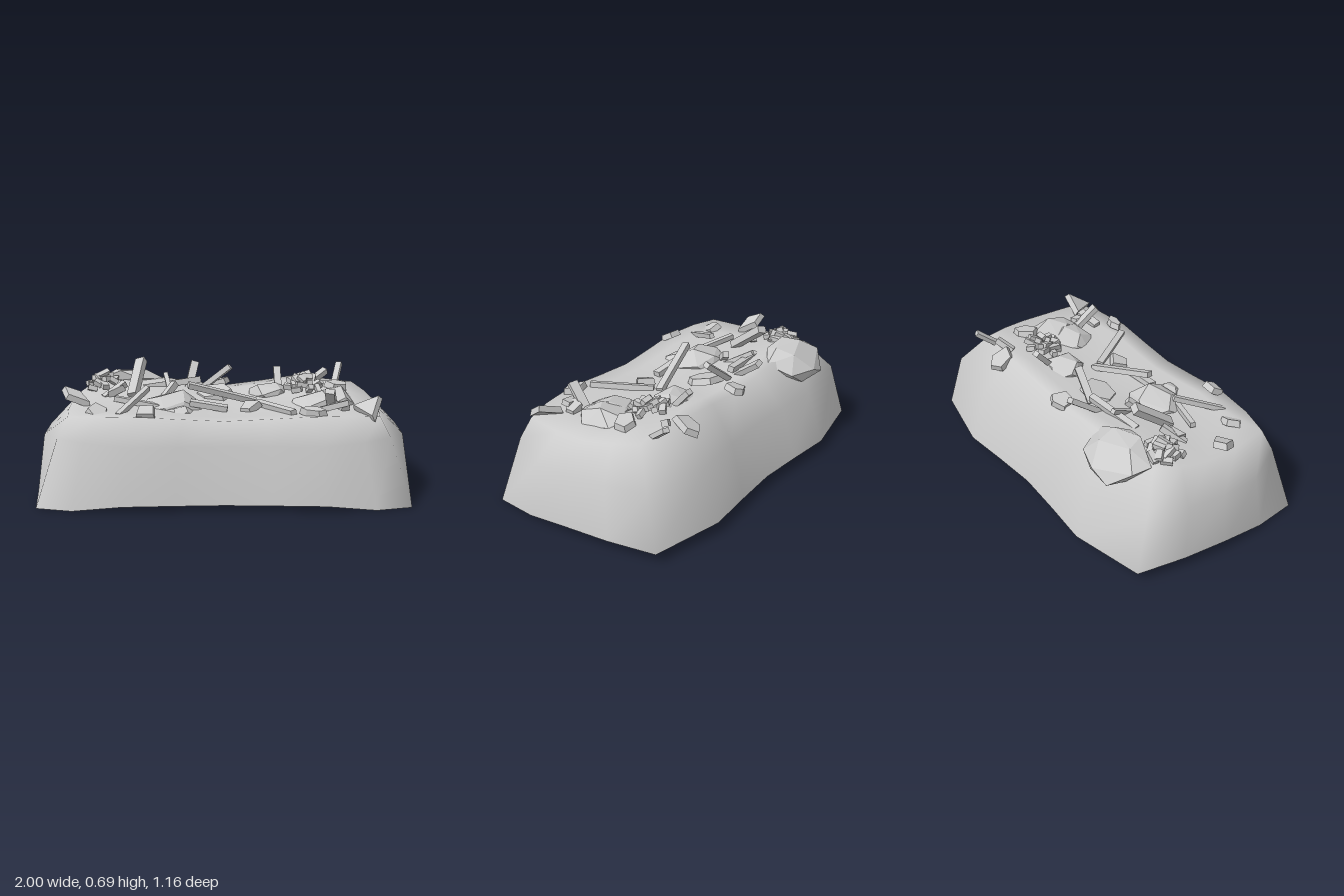
import * as THREE from 'three';
import { ConvexGeometry } from 'three/addons/geometries/ConvexGeometry.js';

const { lerp, smoothstep } = THREE.MathUtils;
const smooth = new THREE.MeshStandardMaterial({ color: 0xcccccc, side: THREE.DoubleSide });
const flat = new THREE.MeshStandardMaterial({ color: 0xcccccc, flatShading: true });

// Small seeded generator so the rubble is always the same
let seed = 7;
const rand = (a = 0, b = 1) => {
  seed = (seed * 16807) % 2147483647;
  return a + (b - a) * seed / 2147483647;
};

// Height of the mound's top: rises to the back, dips across the middle, drops at the ends
function topY(x, z) {
  const back = smoothstep(-z, -0.2, 0.34), ax = Math.abs(x);
  const dip = lerp(0.025, 0.055, back) * (1 - smoothstep(ax, 0, 0.45));
  const ends = lerp(0.01, 0.045, back) * smoothstep(ax, 0.6, 0.85);
  return 0.47 + 0.08 * back - dip - ends;
}

// Height of the mound anywhere, including the sloping flanks
function groundY(x, z) {
  const over = Math.max(0, z - 0.44, -z - 0.34, Math.abs(x) - 0.82);
  return topY(x, z) - over * 1.1;
}

// Open-bottomed mound lofted through shrinking rings
function mound() {
  const half = [[0, -0.545], [0.25, -0.562], [0.51, -0.585], [0.905, -0.5], [0.965, -0.24], [1, 0],
    [1, 0.25], [0.97, 0.5], [0.78, 0.55], [0.52, 0.58], [0.25, 0.565], [0, 0.555]];
  const rim = [...half, ...half.slice(1, -1).reverse().map(([x, z]) => [-x, z])];
  // x scale, front z scale, back z scale
  const rings = [[1, 1, 1], [0.96, 0.9, 0.845], [0.83, 0.8, 0.58], [0.66, 0.62, 0.42], [0.34, 0.32, 0.2]];
  const pos = [], index = [], n = rim.length;
  rings.forEach(([sx, sf, sb], r) => {
    for (const [x, z] of rim) {
      // the front corners lean in more than the ends
      const frontCorner = r === 1 && z > 0.45 ? smoothstep(Math.abs(x), 0.6, 0.95) : 0;
      const px = x * lerp(sx, 0.885, frontCorner);
      const pz = z * lerp(sb, sf - 0.03 * frontCorner, smoothstep(z, -0.5, 0.5));
      const t = Math.min(Math.max(z * 2, 0), 1);
      const frontBase = 0.03 * (1 - smoothstep(Math.abs(x), 0.52, 0.78));
      const base = lerp(0.055 * (1 - t) ** 1.5, frontBase, smoothstep(t, 0.5, 1));
      const side = lerp(0.35, 0.325, smoothstep(z, -0.4, 0.4)) + 0.03 * frontCorner;
      pos.push(px, r === 0 ? base : r === 1 ? side : topY(px, pz), pz);
    }
  });
  pos.push(0, topY(0, 0), 0);
  for (let i = 0; i < n; i++) {
    const j = (i + 1) % n;
    for (let r = 0; r < rings.length - 1; r++) {
      const a = r * n + i, b = r * n + j;
      index.push(a, a + n, b, b, a + n, b + n);
    }
    const last = (rings.length - 1) * n;
    index.push(last + i, rings.length * n, last + j);
  }
  const geo = new THREE.BufferGeometry();
  geo.setAttribute('position', new THREE.Float32BufferAttribute(pos, 3));
  geo.setIndex(index);
  geo.computeVertexNormals();
  return geo;
}

// Straight beam between two points
function plank(x1, y1, z1, x2, y2, z2, w, h = w) {
  const a = new THREE.Vector3(x1, y1, z1), b = new THREE.Vector3(x2, y2, z2);
  const mesh = new THREE.Mesh(new THREE.BoxGeometry(w, h, a.distanceTo(b)), flat);
  mesh.position.copy(a).add(b).multiplyScalar(0.5);
  mesh.lookAt(b);
  mesh.rotateZ(rand(-0.4, 0.4));
  mesh.name = 'plank';
  return mesh;
}

// Flat broken slab with an irregular outline
function shard(x, z, rx, rz, sides, turn, tiltX, tiltZ, lift = 0.02) {
  const pts = [];
  for (let i = 0; i < sides; i++) {
    const a = (i + rand(-0.2, 0.2)) / sides * Math.PI * 2;
    for (const [y, s] of [[-0.02, 1], [0.015, 0.88]])
      pts.push(new THREE.Vector3(Math.cos(a) * rx * s, y, Math.sin(a) * rz * s));
  }
  const mesh = new THREE.Mesh(new ConvexGeometry(pts), flat);
  mesh.position.set(x, groundY(x, z) + lift, z);
  mesh.rotation.set(tiltX, turn, tiltZ);
  mesh.name = 'shard';
  return mesh;
}

// Faceted boulder sunk in the mound
function boulder(x, z, rx, ry, rz, sink, tiltX = 0) {
  const pts = [];
  for (let i = 0; i < 16; i++) {
    const y = 1 - 2 * (i + 0.5) / 16, r = Math.sqrt(1 - y * y), a = i * 2.4;
    const k = rand(0.85, 1.1);
    pts.push(new THREE.Vector3(Math.cos(a) * r * rx * k, y * ry * k, Math.sin(a) * r * rz * k));
  }
  const mesh = new THREE.Mesh(new ConvexGeometry(pts), flat);
  mesh.position.set(x, groundY(x, z) - sink, z);
  mesh.rotation.x = tiltX;
  mesh.name = 'boulder';
  return mesh;
}

// Heap of small bricks
function brickHeap(cx, cz, radius, count) {
  const heap = new THREE.Group();
  heap.name = 'brickHeap';
  for (let i = 0; i < count; i++) {
    const r = radius * Math.sqrt((i + 0.3) / count), a = i * 2.4;
    const x = cx + r * Math.cos(a), z = cz + r * Math.sin(a);
    const brick = new THREE.Mesh(new THREE.BoxGeometry(rand(0.045, 0.08), 0.028, rand(0.026, 0.036)), flat);
    brick.position.set(x, groundY(x, z) + 0.012 + 0.06 * (1 - r / radius), z);
    brick.rotation.set(rand(-0.5, 0.5), rand(0, 3), rand(-0.5, 0.5));
    brick.name = 'brick';
    heap.add(brick);
  }
  return heap;
}

export function createModel() {
  seed = 7;
  const model = new THREE.Group();
  model.name = 'rubbleMound';
  const body = new THREE.Mesh(mound(), smooth);
  body.name = 'mound';
  model.add(body);

  // Beams: start, end, width, thickness
  const planks = [
    [-0.165, 0.62, -0.36, -0.2, 0.49, -0.19, 0.045, 0.03],
    [-0.465, 0.665, -0.18, -0.5, 0.5, 0.03, 0.055, 0.04],
    [-0.45, 0.51, -0.15, -0.13, 0.55, -0.2, 0.035],
    [-0.12, 0.5, -0.19, 0.04, 0.63, -0.16, 0.04, 0.03],
    [-0.33, 0.58, -0.21, -0.29, 0.48, -0.05, 0.025],
    [-0.59, 0.5, 0.11, -0.34, 0.47, 0.2, 0.028],
    [-0.41, 0.56, 0.13, -0.55, 0.46, 0.37, 0.028],
    [-0.19, 0.58, 0.15, 0.18, 0.47, 0.05, 0.04, 0.03],
    [0.18, 0.47, 0.09, 0.36, 0.475, 0.39, 0.035],
    [0.31, 0.61, -0.25, 0.315, 0.48, -0.14, 0.04, 0.03],
    [0.69, 0.61, -0.4, 0.65, 0.51, -0.28, 0.035, 0.025],
    [-0.18, 0.49, 0.18, 0.02, 0.46, 0.2, 0.045, 0.03],
    [0.52, 0.53, -0.27, 0.6, 0.58, -0.32, 0.035],
    [0.51, 0.48, 0.32, 0.65, 0.51, 0.3, 0.045, 0.03],
    [0.58, 0.47, 0.22, 0.55, 0.58, 0.34, 0.05, 0.03],
    [-0.27, 0.55, -0.07, -0.33, 0.48, 0, 0.035],
    [-0.66, 0.48, 0, -0.55, 0.55, -0.07, 0.035],
  ];
  for (const p of planks) model.add(plank(...p));

  // Slabs: x, z, half sizes, sides, turn, tilts, lift
  const shards = [
    [-0.02, -0.31, 0.07, 0.06, 5, 0.3, -0.2, 0.3],
    [0.48, -0.37, 0.06, 0.085, 5, 0.2, -0.5, 0.2],
    [-0.8, 0.12, 0.1, 0.055, 4, -0.4, 0.1, -0.4, 0.05],
    [-0.66, 0.32, 0.06, 0.07, 5, 0.5, 0.6, -0.3, 0],
    [-0.4, 0.43, 0.06, 0.06, 4, 0.75, 0.45, 0.1],
    [0.14, 0.19, 0.065, 0.065, 4, 0.2, 0.2, 0.3],
    [0.46, 0.41, 0.075, 0.035, 6, -0.3, 0.2, 0],
    [0.75, 0.36, 0.1, 0.1, 3, 0.5, 0.2, 0.5, 0.03],
    [0.62, 0.27, 0.06, 0.05, 5, 0.8, 0.3, -0.5],
    [0.64, -0.1, 0.08, 0.06, 5, 0.6, 0.2, -0.2],
    [-0.6, -0.01, 0.06, 0.04, 3, 0.2, 0.1, 0.3],
    [-0.05, -0.09, 0.11, 0.1, 6, 0, 0.25, 0.15],
  ];
  for (const s of shards) model.add(shard(...s));

  // Boulders: x, z, half sizes, sink, tilt
  const boulders = [
    [-0.54, -0.36, 0.21, 0.075, 0.17, 0.025, -0.55],
    [-0.28, 0.12, 0.16, 0.09, 0.15, 0.01],
    [-0.23, 0.25, 0.09, 0.07, 0.08, 0.03],
    [0.25, -0.11, 0.13, 0.07, 0.12, 0.02],
    [0.49, 0.1, 0.14, 0.09, 0.13, 0.02],
    [0.6, 0.06, 0.12, 0.09, 0.19, 0.015],
  ];
  for (const b of boulders) model.add(boulder(...b));

  model.add(brickHeap(-0.69, -0.17, 0.085, 16), brickHeap(0.46, -0.1, 0.095, 18));
  return model;
}
